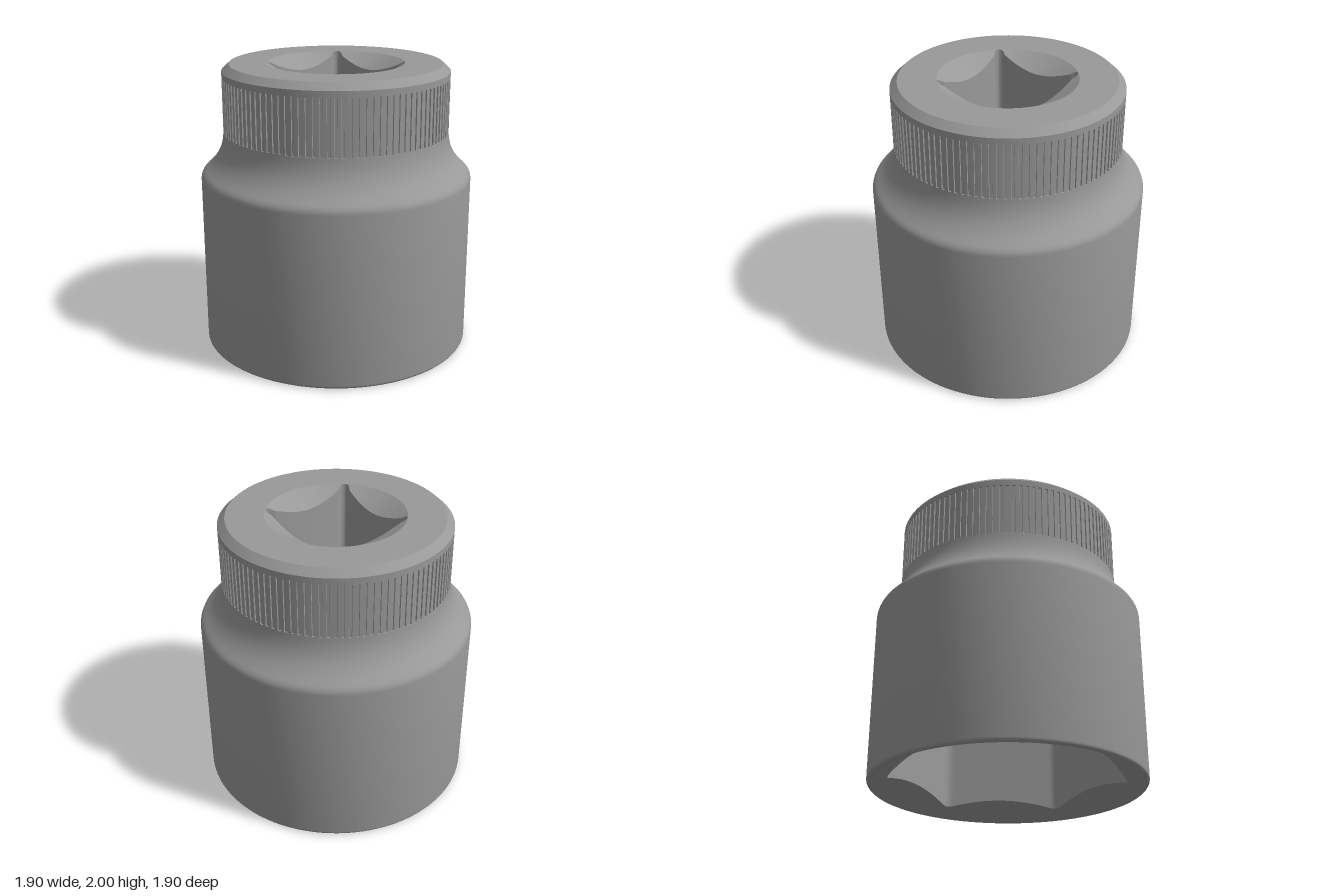
import * as THREE from 'three';
import { toCreasedNormals } from 'three/addons/utils/BufferGeometryUtils.js';

const steel = new THREE.MeshStandardMaterial({ color: 0x999999 });
const ridged = new THREE.MeshStandardMaterial({ color: 0x999999, flatShading: true });
const SLOPE = 0.57;
const NECK = 0.786;

// Skin between two closed rings; each ring maps (angle, index) to [radius, y]
function strip(angles, ringA, ringB) {
  const n = angles.length, pos = [], idx = [];
  for (const ring of [ringA, ringB]) {
    angles.forEach((t, i) => {
      const [r, y] = ring(t, i);
      pos.push(r * Math.sin(t), y, r * Math.cos(t));
    });
  }
  for (let i = 0; i < n; i++) {
    const j = (i + 1) % n;
    idx.push(i, j, n + j, i, n + j, n + i);
  }
  const g = new THREE.BufferGeometry();
  g.setAttribute('position', new THREE.Float32BufferAttribute(pos, 3));
  g.setIndex(idx);
  g.computeVertexNormals();
  return g;
}

// Angle measured from the nearest corner of a polygon
const fromCorner = (t, sides, first) => {
  const step = 2 * Math.PI / sides, a = t - first;
  return Math.abs(a - Math.round(a / step) * step);
};

// Square drive outline: slightly bowed sides and round corner reliefs
function squareRadius(t) {
  const phi = fromCorner(t, 4, Math.PI / 4), d = 0.438, rho = 0.036;
  if (d * Math.sin(phi) < rho) return d * Math.cos(phi) + Math.sqrt(rho ** 2 - (d * Math.sin(phi)) ** 2);
  const a = Math.PI / 4 - phi;
  return (0.313 + 0.022 * Math.tan(a) ** 2) / Math.cos(a);
}

// Hexagon outline with rounded corners, corners on the z axis
function hexRadius(t) {
  const apothem = 0.715, rho = 0.08, phi = fromCorner(t, 6, 0);
  const d = (apothem - rho) / Math.cos(Math.PI / 6);
  const tangent = Math.atan2(rho * 0.5, d + rho * Math.cos(Math.PI / 6));
  if (phi < tangent) return d * Math.cos(phi) + Math.sqrt(rho ** 2 - (d * Math.sin(phi)) ** 2);
  return apothem / Math.cos(Math.PI / 6 - phi);
}

export function createModel() {
  const model = new THREE.Group();
  model.name = 'socket';
  const add = (name, geometry, material = steel) => {
    const mesh = new THREE.Mesh(geometry, material);
    mesh.name = name;
    model.add(mesh);
  };
  const turned = (points) => toCreasedNormals(
    new THREE.LatheGeometry(points.map(([x, y]) => new THREE.Vector2(x, y)), 128), 0.6);

  // Body with a rounded foot and a shoulder sweeping into the neck
  const shoulder = new THREE.CubicBezierCurve(
    new THREE.Vector2(0.925, 1.258), new THREE.Vector2(0.83, 1.34),
    new THREE.Vector2(0.793, 1.42), new THREE.Vector2(NECK, 1.53)
  ).getPoints(14).map((p) => [p.x, p.y]);
  add('body', turned([[0.9, 0.012], [0.912, 0.005], [0.922, 0.001], [0.93, 0], [0.938, 0.003],
    [0.945, 0.009], [0.949, 0.016], [0.95, 0.025], [0.95, 1.205],
    [0.948, 1.222], [0.94, 1.241], ...shoulder]));

  // Collar: top rim, chamfer and flat face around the drive hole
  add('collar', turned([[NECK, 1.91], [NECK, 1.953], [0.735, 2], [0.475, 2]]));

  // Grip band: lands and shallow grooves alternate round the neck
  const teeth = 108, bandAngles = [];
  for (let k = 0; k < teeth; k++) {
    for (const f of [0, 0.52, 0.56, 0.96]) bandAngles.push((k + f) * 2 * Math.PI / teeth);
  }
  const plain = (y) => () => [NECK, y];
  const grooved = (y) => (t, i) => [i % 4 < 2 ? NECK : NECK - 0.009, y];
  const grip = [plain(1.53), grooved(1.53), grooved(1.91), plain(1.91)];
  ['gripLowerEnds', 'gripBand', 'gripUpperEnds'].forEach((name, i) =>
    add(name, strip(bandAngles, grip[i], grip[i + 1]), ridged));

  // Inside, followed downwards from the drive hole to the hexagon mouth
  const angles = Array.from({ length: 360 }, (_, i) => i * Math.PI / 180);
  const inner = [
    () => [0.475, 2],
    (t) => [squareRadius(t), 2 - (0.475 - squareRadius(t)) * SLOPE],
    (t) => [squareRadius(t), 1.15],
    (t) => [hexRadius(t), 1.15],
    (t) => [hexRadius(t), 0.012 + (0.9 - hexRadius(t)) * SLOPE],
    () => [0.9, 0.012],
  ];
  ['driveCountersink', 'driveHole', 'hexFloor', 'hexHole', 'hexCountersink'].forEach((name, i) =>
    add(name, toCreasedNormals(strip(angles, inner[i], inner[i + 1]), 0.5)));

  return model;
}
